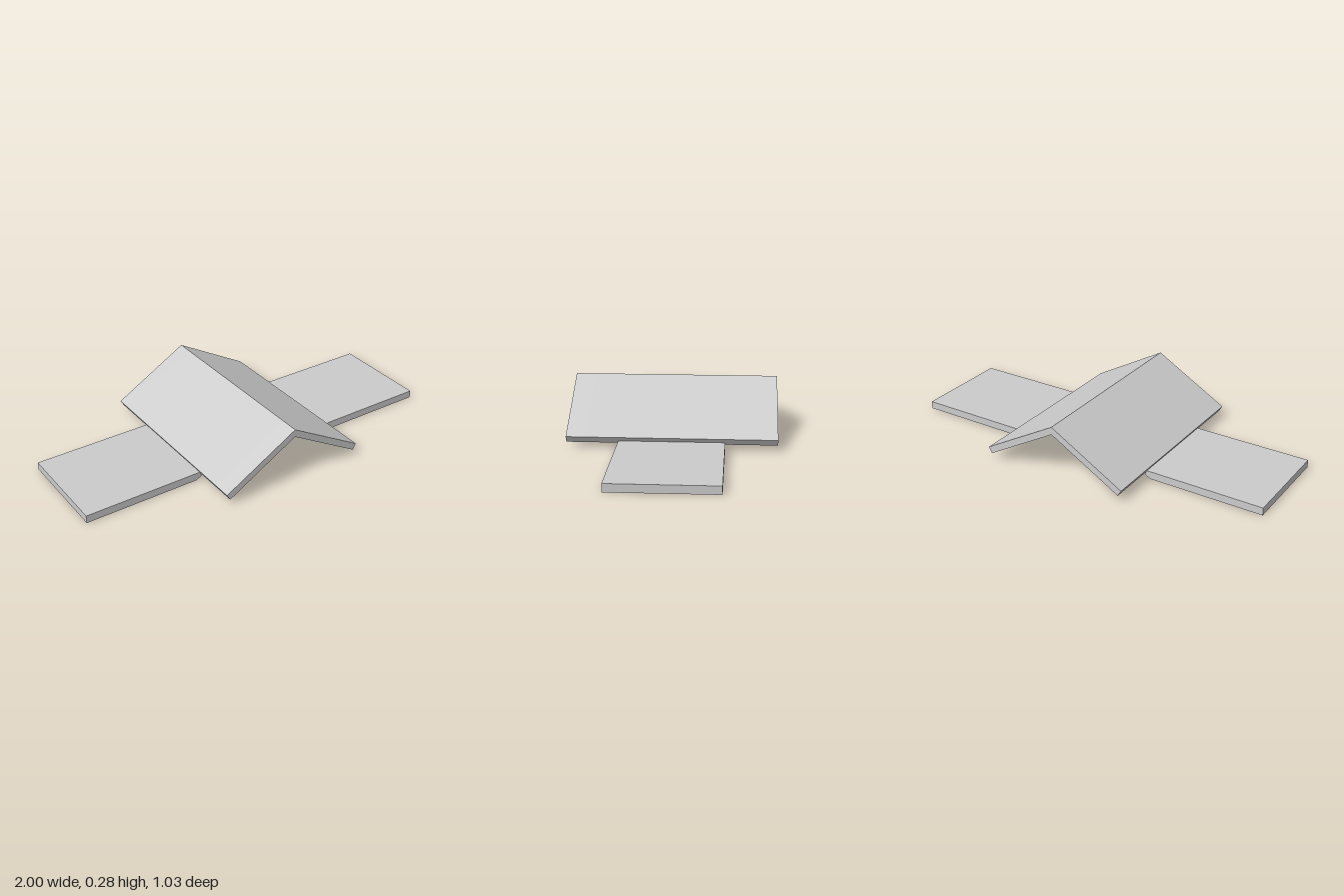
import * as THREE from 'three';

const material = new THREE.MeshStandardMaterial({ color: 0xcccccc, flatShading: true });

// Extrudes an x/y profile along z between two depths
function prism(name, points, z0, z1) {
  const shape = new THREE.Shape(points.map(([x, y]) => new THREE.Vector2(x, y)));
  const geometry = new THREE.ExtrudeGeometry(shape, { depth: z1 - z0, bevelEnabled: false });
  geometry.translate(0, 0, z0);
  const mesh = new THREE.Mesh(geometry, material);
  mesh.name = name;
  return mesh;
}

export function createModel() {
  const model = new THREE.Group();
  model.name = 'ridgedRampWithSidePlates';

  // Folded ridge: a thin chevron in a main span with a border strip at each end
  const ridge = new THREE.Group();
  ridge.name = 'ridge';
  const chevron = [
    [0, 0.285], [-0.392, 0.06], [-0.374, 0.029],
    [0, 0.245], [0.374, 0.029], [0.392, 0.06],
  ];
  ridge.add(
    prism('ridgeSpan', chevron, -0.42, 0.42),
    prism('frontBorder', chevron, 0.42, 0.516),
    prism('backBorder', chevron, -0.516, -0.42),
  );
  model.add(ridge);

  // Flat side plates, chamfered where they tuck under the ridge edges
  const plate = [
    [0.4, 0], [1, 0], [1, 0.04], [0.38, 0.04], [0.374, 0.029], [0.37, 0.016],
  ];
  for (const [name, side] of [['leftPlate', 1], ['rightPlate', -1]]) {
    model.add(prism(name, plate.map(([x, y]) => [x * side, y]), -0.26, 0.26));
  }

  return model;
}
